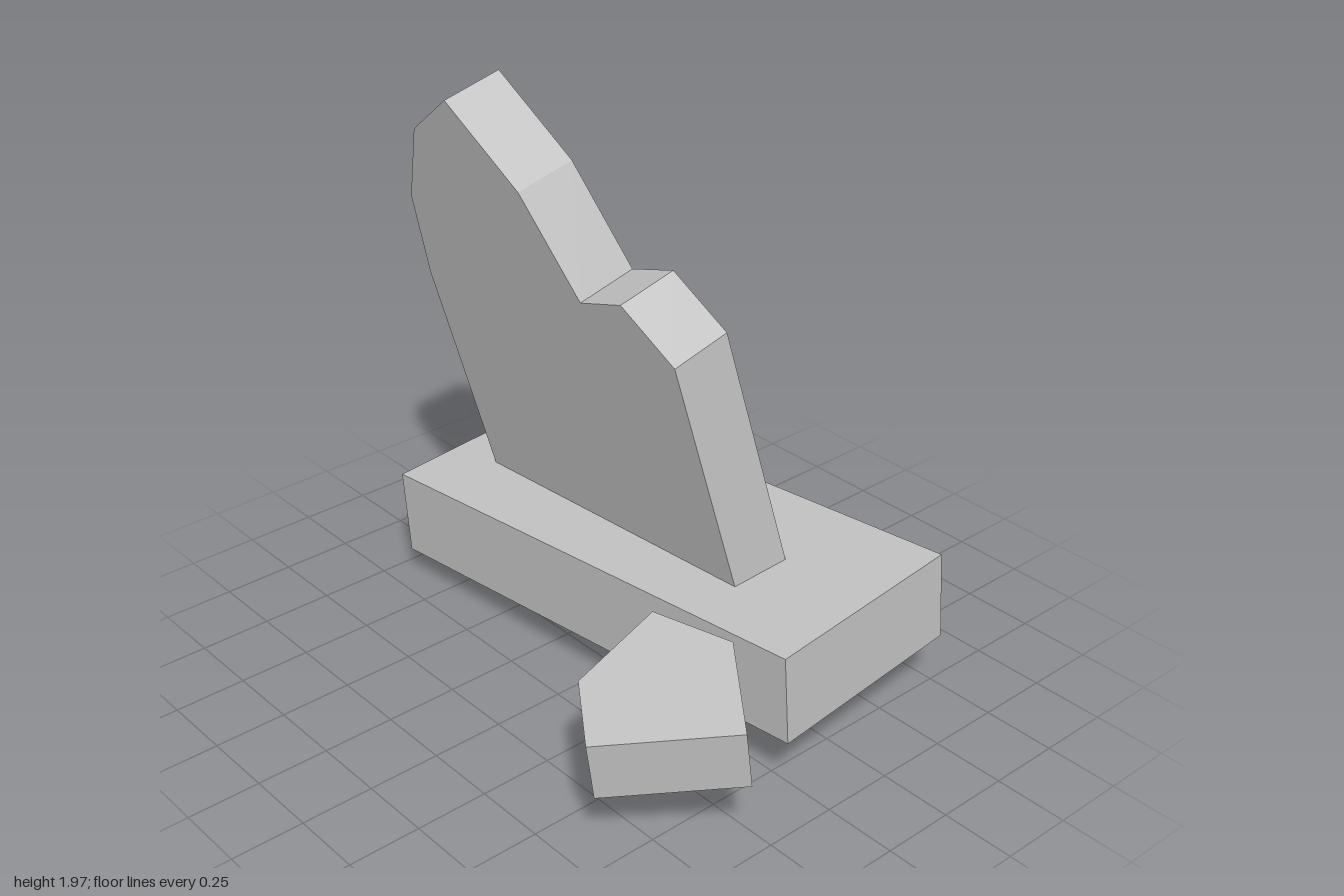
import * as THREE from 'three';

// Set a part at a point with its local x and y axes along two given directions
function place(mesh, origin, xDir, yDir) {
  const x = new THREE.Vector3(...xDir).normalize();
  const z = x.clone().cross(new THREE.Vector3(...yDir)).normalize();
  const y = z.clone().cross(x);
  mesh.quaternion.setFromRotationMatrix(new THREE.Matrix4().makeBasis(x, y, z));
  mesh.position.set(...origin);
  return mesh;
}

// Flat slab whose outline face lies on local z = 0 and whose body runs behind it
function slab(name, outline, depth, material) {
  const shape = new THREE.Shape(outline.map(([x, y]) => new THREE.Vector2(x, y)));
  const geometry = new THREE.ExtrudeGeometry(shape, { depth, bevelEnabled: false });
  geometry.translate(0, 0, -depth);
  const mesh = new THREE.Mesh(geometry, material);
  mesh.name = name;
  return mesh;
}

export function createModel() {
  const group = new THREE.Group();
  group.name = 'brokenGravestone';
  const stone = new THREE.MeshStandardMaterial({ color: 0xc2c2c2, flatShading: true });
  stone.name = 'grey stone';

  // Sunken, tilted plinth
  const plinth = new THREE.Mesh(new THREE.BoxGeometry(1.795, 0.31, 0.765), stone);
  plinth.name = 'plinth';
  group.add(place(plinth, [-0.07, 0.313, -0.266], [0.997, 0.053, -0.069], [-0.05, 0.998, 0.04]));

  // Leaning headstone with a broken top; its foot passes through the plinth
  const headstone = slab('headstone', [
    [0, 0], [1.21, 0], [1.217, 1.17], [1.037, 1.347], [0.832, 1.306],
    [0.679, 1.66], [0.432, 1.932], [0.202, 1.8], [0.045, 1.531], [0, 1.232],
  ], 0.222, stone);
  group.add(place(headstone, [-0.713, 0, -0.2], [0.992, 0.125, 0.006], [-0.123, 0.966, 0.224]));

  // Fallen corner piece lying in front
  const fragment = slab('fallenFragment', [
    [0, 0], [-0.285, -0.07], [-0.22, -0.428], [0.005, -0.59], [0.31, -0.243],
  ], 0.21, stone);
  group.add(place(fragment, [0.692, 0.517, 0.13], [1, -0.025, 0], [0, 0.165, -0.986]));

  return group;
}
